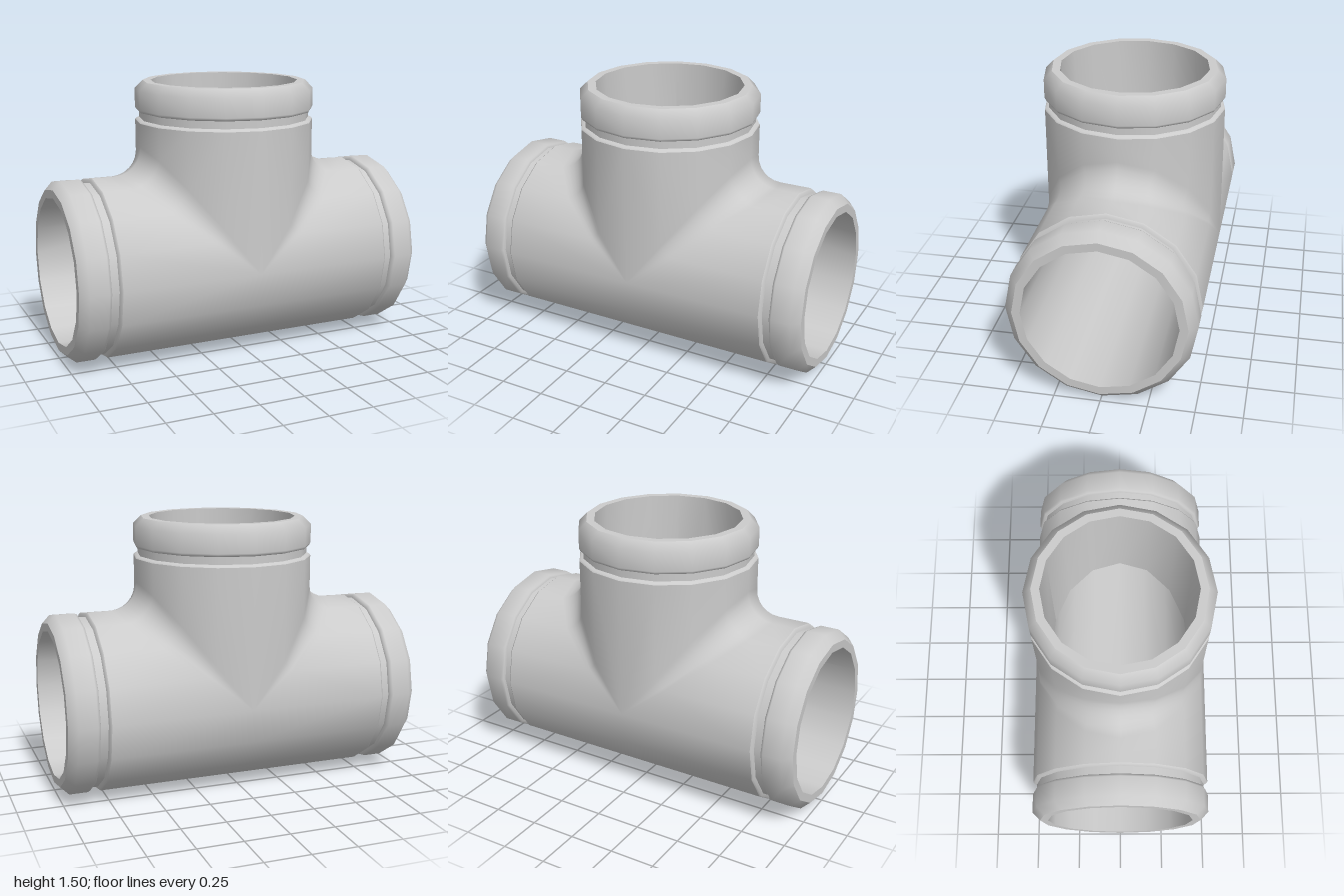
import * as THREE from 'three';
import { mergeGeometries, mergeVertices, toCreasedNormals } from 'three/addons/utils/BufferGeometryUtils.js';

const SIDES = 16, R = 0.5, BORE = 0.41, AXIS = 0.5;

// Surface through rows of points
function grid(rows, flip) {
  const n = rows[0].length, index = [];
  for (let i = 0; i < rows.length - 1; i++) {
    for (let j = 0; j < n - 1; j++) {
      const a = i * n + j, b = a + 1, c = b + n, d = a + n;
      if (flip) index.push(a, c, b, a, d, c);
      else index.push(a, b, c, a, c, d);
    }
  }
  const g = new THREE.BufferGeometry().setFromPoints(rows.flat());
  g.setIndex(index);
  return g;
}

// Tee wall: each row runs along the main pipe, round the fillet and up the branch
function teeWall(r, length, fillet, inward) {
  const parts = [];
  const steps = 6;
  for (const side of [1, -1]) {
    const rows = [];
    for (let k = 0; k <= SIDES / 2; k++) {
      const a = -Math.PI / 2 + (k / SIDES) * Math.PI * 2;
      const c = Math.cos(a), s = Math.sin(a);
      const row = [new THREE.Vector3(length * side, AXIS + r * c, r * s)];
      if (fillet) {
        // A ball of the fillet radius rolling along both pipes
        const centre = new THREE.Vector3((r + fillet) * c, AXIS + (r + fillet) * c, (r + fillet) * s);
        for (let j = 0; j <= steps; j++) {
          const t = j / steps * Math.PI / 2;
          const w = Math.sin(t) / (Math.sin(t) + Math.cos(t));
          const dir = new THREE.Vector3(w * c, (1 - w) * c, s).normalize();
          const p = centre.clone().addScaledVector(dir, -fillet);
          p.x *= side;
          row.push(p);
        }
      } else {
        row.push(new THREE.Vector3(r * c * side, AXIS + r * c, r * s));
      }
      row.push(new THREE.Vector3(r * c * side, AXIS + length, r * s));
      rows.push(row);
    }
    parts.push(grid(rows, (side < 0) !== inward));
  }
  // Lower half of the main pipe
  const low = [];
  for (let k = 0; k <= SIDES / 2; k++) {
    const a = Math.PI / 2 + (k / SIDES) * Math.PI * 2;
    low.push([length, 0, -length].map(x => new THREE.Vector3(x, AXIS + r * Math.cos(a), r * Math.sin(a))));
  }
  parts.push(grid(low, inward));
  return mergeVertices(mergeGeometries(parts));
}

export function createModel() {
  const model = new THREE.Group();
  model.name = 'pipeTee';
  const material = new THREE.MeshStandardMaterial({ color: 0xcccccc });

  const add = (parent, name, geometry) => {
    const mesh = new THREE.Mesh(geometry, material);
    mesh.name = name;
    parent.add(mesh);
  };

  // Outer body with blended branch
  const body = teeWall(R, 0.78, 0.15, false);
  body.computeVertexNormals();
  add(model, 'body', body);

  // Hollow inside
  add(model, 'bore', toCreasedNormals(teeWall(BORE, 1, 0, true), 0.5));

  // Grooved collar at each opening: [radius, distance from the centre]
  const profiles = {
    lip: [[R, 0.78], [0.494, 0.788], [0.477, 0.793]],
    groove: [[0.477, 0.793], [0.477, 0.834]],
    collar: [[0.477, 0.834], [0.493, 0.838], [R, 0.852], [R, 0.955], [0.455, 1]],
    endFace: [[0.455, 1], [BORE, 1]],
  };
  const ends = { leftEnd: -Math.PI / 2, rightEnd: Math.PI / 2, topEnd: 0 };
  for (const [name, angle] of Object.entries(ends)) {
    const end = new THREE.Group();
    end.name = name;
    end.position.y = AXIS;
    end.rotation.z = angle;
    for (const [part, points] of Object.entries(profiles)) {
      add(end, part, new THREE.LatheGeometry(points.map(p => new THREE.Vector2(...p)), SIDES));
    }
    model.add(end);
  }
  return model;
}
